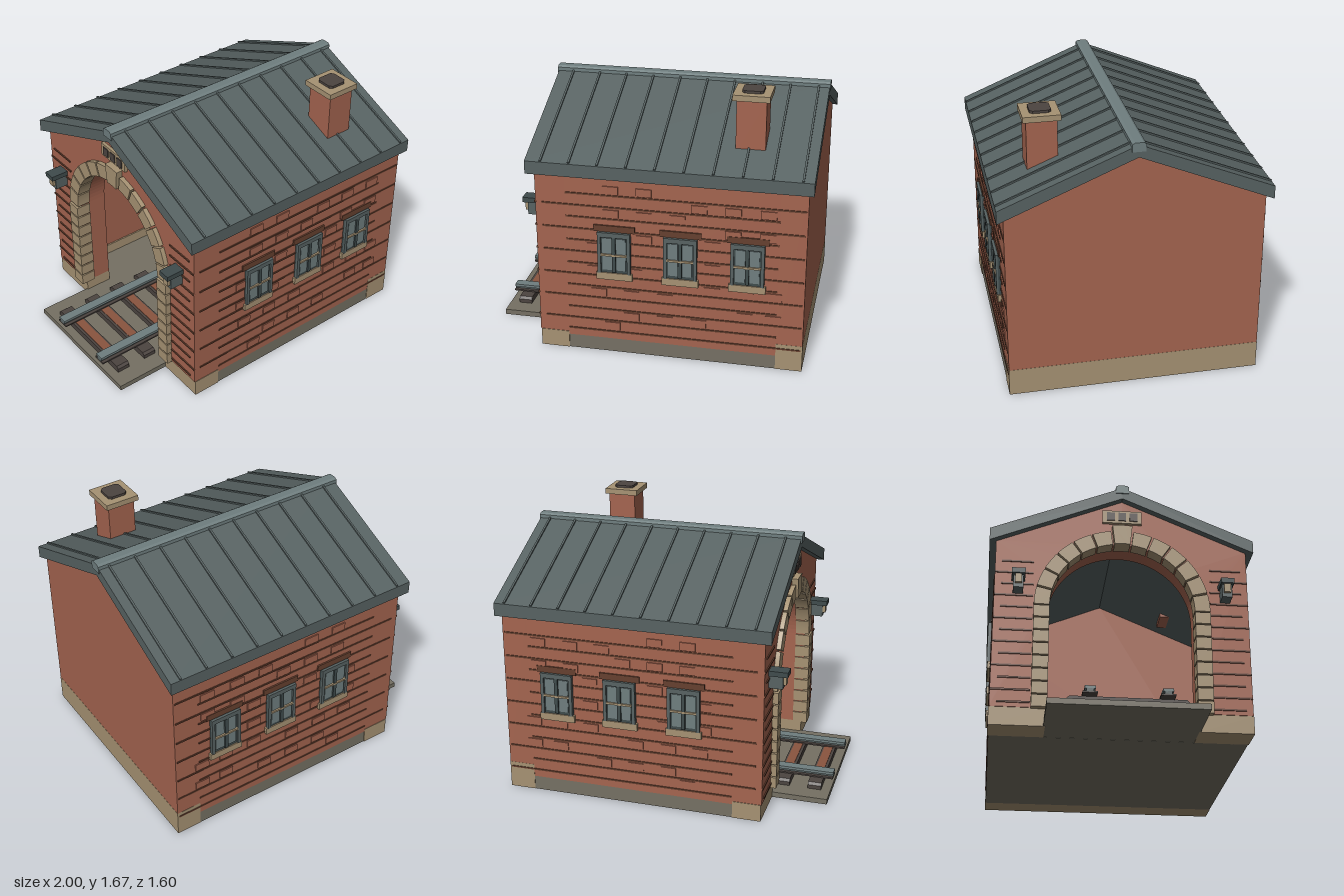
import * as THREE from 'three';

const paint = (name, color) => {
  const m = new THREE.MeshStandardMaterial({ color });
  m.name = name;
  return m;
};

export function createModel() {
  const brick = paint('brick red', 0xa4644f);
  const mortar = paint('dark mortar', 0x66402f);
  const stone = paint('tan stone', 0xa69273);
  const gravel = paint('grey gravel', 0x757063);
  const slate = paint('slate roof', 0x576262);
  const steel = paint('pale steel', 0x6f7e7f);
  const frameMat = paint('dark frame', 0x3f4b4c);
  const timber = paint('dark timber', 0x4c4440);
  const rust = paint('rust timber', 0x8a543f);

  const model = new THREE.Group();
  model.name = 'engineShed';
  const add = (name, geo, mat, parent = model) => {
    const m = new THREE.Mesh(geo, mat);
    m.name = name;
    parent.add(m);
    return m;
  };
  // box given by its minimum and maximum on each axis
  const box = (name, mat, x0, x1, y0, y1, z0, z1, parent) => {
    const m = add(name, new THREE.BoxGeometry(x1 - x0, y1 - y0, z1 - z0), mat, parent);
    m.position.set((x0 + x1) / 2, (y0 + y1) / 2, (z0 + z1) / 2);
    return m;
  };
  // outline in the z-y plane, extruded from x0 to x1
  const slab = (name, mat, shape, x0, x1) => {
    const g = new THREE.ExtrudeGeometry(shape, { depth: x1 - x0, bevelEnabled: false, curveSegments: 24 });
    g.rotateY(Math.PI / 2).translate(x0, 0, 0);
    return add(name, g, mat);
  };
  const poly = (pts) => new THREE.Shape(pts.map(([a, b]) => new THREE.Vector2(a, b)));

  // walls: solid rear gable, thin sides, thick front with an arched doorway
  const R = 0.44, SPRING = 0.75;
  slab('rearWall', brick, poly([[-0.76, 0.17], [0.76, 0.17], [0.76, 1.185], [0, 1.5], [-0.76, 1.185]]), 0.8, 0.96);
  box('rearPlinth', stone, 0.8, 0.961, 0, 0.17, -0.761, 0.761);
  const front = new THREE.Shape();
  front.moveTo(R, 0.11);
  front.lineTo(0.76, 0.11);
  front.lineTo(0.76, 1.185);
  front.lineTo(0, 1.5);
  front.lineTo(-0.76, 1.185);
  front.lineTo(-0.76, 0.11);
  front.lineTo(-R, 0.11);
  front.lineTo(-R, SPRING);
  front.absarc(0, SPRING, R, Math.PI, 0, true);
  front.lineTo(R, 0.11);
  slab('frontWall', brick, front, -0.66, -0.48);
  box('floor', gravel, -0.48, 0.8, 0, 0.03, -0.7, 0.7);

  // bricks standing proud of the side walls: row height, then centres along x
  const brickRows = [
    [1.08, -0.2, 0], [1.005, 0.33, 0.53, 0.735], [0.93, -0.2, 0, 0.2], [0.86, 0.53, 0.735],
    [0.78, 0, 0.41], [0.705, -0.3], [0.63, 0.41], [0.555, -0.3, -0.06], [0.48, 0.41, 0.61, 0.78],
    [0.405, -0.28, -0.08, 0.125], [0.33, 0.61, 0.78], [0.255, -0.08, 0.125, 0.33], [0.18, -0.2],
  ];

  // one window, facing +z, centred on x = 0
  const makeWindow = (parent) => {
    const w = new THREE.Group();
    w.name = 'window';
    parent.add(w);
    box('lintel', mortar, -0.125, 0.125, 0.815, 0.855, 0.755, 0.77, w);
    box('windowSill', stone, -0.11, 0.11, 0.505, 0.55, 0.755, 0.782, w);
    box('frameBacking', frameMat, -0.1, 0.1, 0.55, 0.815, 0.755, 0.775, w);
    for (const s of [-1, 1]) {
      box('frameSide', slate, s * 0.09 - 0.01, s * 0.09 + 0.01, 0.55, 0.815, 0.77, 0.787, w);
      box('glass', steel, s * 0.042 - 0.029, s * 0.042 + 0.029, 0.57, 0.778, 0.772, 0.78, w);
    }
    box('frameTop', slate, -0.1, 0.1, 0.785, 0.815, 0.77, 0.787, w);
    box('mullion', frameMat, -0.011, 0.011, 0.56, 0.785, 0.77, 0.788, w);
    box('glazingBar', stone, -0.08, 0.08, 0.664, 0.676, 0.775, 0.79, w);
    return w;
  };

  for (const s of [1, -1]) {
    // each side is built facing +z; the far one is turned and its x positions negated
    const side = new THREE.Group();
    side.name = s > 0 ? 'frontSide' : 'backSide';
    if (s < 0) side.rotation.y = Math.PI;
    model.add(side);
    const sbox = (name, mat, x0, x1, y0, y1, z0, z1) =>
      box(name, mat, Math.min(s * x0, s * x1), Math.max(s * x0, s * x1), y0, y1, z0, z1, side);

    sbox('sideWall', brick, -0.48, 0.8, 0.09, 1.185, 0.69, 0.76);
    sbox('sidePlinth', gravel, -0.48, 0.8, 0, 0.09, 0.69, 0.758);
    sbox('innerSkirting', stone, -0.48, 0.8, 0.03, 0.1, 0.68, 0.692);
    sbox('doorwayPier', stone, -0.655, -0.478, 0, 0.11, R, 0.763);
    for (let i = 0; i < 13; i++) {
      const y = 0.14 + i * 0.0754;
      sbox('mortarLine', mortar, i % 2 ? -0.62 : -0.475, i % 2 ? 0.8 : 0.95, y - 0.005, y + 0.005, 0.75, 0.765);
      // mortar beside the doorway
      sbox('frontMortarLine', mortar, -0.667, -0.65, y - 0.005, y + 0.005, 0.53, i % 2 ? 0.76 : 0.72);
    }
    for (const [y, ...xs] of brickRows)
      for (const x of xs) sbox('proudBrick', brick, x - 0.047, x + 0.047, y - 0.025, y + 0.025, 0.75, 0.767);
    for (const x of [-0.18, 0.22, 0.62]) makeWindow(side).position.x = s * x;

    // stacked stones up the doorway side
    for (let i = 0; i < 8; i++) {
      const y = 0.105 + i * 0.081;
      sbox('jambStone', stone, -0.695, -0.6, y, y + 0.072, R - 0.008, 0.525);
    }
    // wall lantern
    sbox('lanternBody', slate, -0.745, -0.655, 0.83, 0.93, 0.59, 0.65);
    sbox('lanternHood', frameMat, -0.775, -0.66, 0.91, 0.942, 0.58, 0.66);
    sbox('lanternGlass', stone, -0.763, -0.745, 0.855, 0.91, 0.6, 0.64);
  }

  // arch stones with a taller keystone
  const N = 13;
  for (let i = 0; i < N; i++) {
    const a0 = (Math.PI * i) / N + 0.012, a1 = (Math.PI * (i + 1)) / N - 0.012;
    const key = i === (N - 1) / 2;
    const wedge = new THREE.Shape();
    wedge.absarc(0, SPRING, key ? 0.56 : 0.525, a0, a1, false);
    wedge.absarc(0, SPRING, R - 0.008, a1, a0, true);
    slab(key ? 'keystone' : 'archStone', stone, wedge, key ? -0.7 : -0.688, -0.6);
  }
  // slotted vent in the gable
  box('ventFrame', stone, -0.68, -0.65, 1.335, 1.42, -0.12, 0.12);
  for (const z of [-0.07, 0, 0.07]) box('ventSlot', timber, -0.686, -0.678, 1.35, 1.405, z - 0.024, z + 0.024);

  // roof, seams and ridge
  slab('roof', slate, poly([[-0.8, 1.16], [0, 1.495], [0.8, 1.16], [0.8, 1.24], [0, 1.57], [-0.8, 1.24]]), -0.705, 0.99);
  const pitch = Math.atan2(0.33, 0.8);
  for (const s of [-1, 1])
    for (let i = 0; i < 10; i++) {
      const seam = add('roofSeam', new THREE.BoxGeometry(0.012, 0.016, 0.86), slate);
      seam.position.set(-0.61 + i * 0.1705, 1.407, s * 0.398);
      seam.rotation.x = s * pitch;
    }
  slab('ridgeCap', steel, poly([[-0.04, 1.53], [0.04, 1.53], [0.04, 1.575], [0.025, 1.585], [-0.025, 1.585], [-0.04, 1.575]]), -0.712, 0.995);

  // chimney
  box('chimneyStack', brick, 0.505, 0.68, 1.3, 1.63, 0.4, 0.58);
  box('chimneyCap', stone, 0.483, 0.7, 1.625, 1.66, 0.38, 0.6);
  const c = 0.062, k = 0.045;
  const flue = slab('chimneyFlue', timber, poly([[c, -k], [c, k], [k, c], [-k, c], [-c, k], [-c, -k], [-k, -c], [k, -c]]), 0, 0.03);
  flue.rotation.z = Math.PI / 2;
  flue.position.set(0.592, 1.645, 0.49);

  // railway track running into the shed
  box('trackBed', gravel, -1, 0.78, 0.001, 0.035, -0.45, 0.45);
  for (let i = 0; i < 9; i++) {
    const x = -0.9 + i * 0.2;
    const sleeper = poly([[-0.34, 0.03], [0.34, 0.03], [0.34, 0.06], [0.325, 0.075], [-0.325, 0.075], [-0.34, 0.06]]);
    slab('sleeper', timber, sleeper, x - 0.042, x + 0.042);
    box('sleeperPlate', rust, x - 0.025, x + 0.03, 0.074, 0.079, -0.17, 0.17);
  }
  for (const s of [-1, 1]) {
    const z = s * 0.215;
    box('railFoot', timber, -1, 0.78, 0.074, 0.084, z - 0.042, z + 0.042);
    box('railWeb', slate, -1, 0.78, 0.08, 0.1, z - 0.02, z + 0.02);
    box('railHead', steel, -1, 0.78, 0.098, 0.115, z - 0.03, z + 0.03);
  }
  return model;
}
